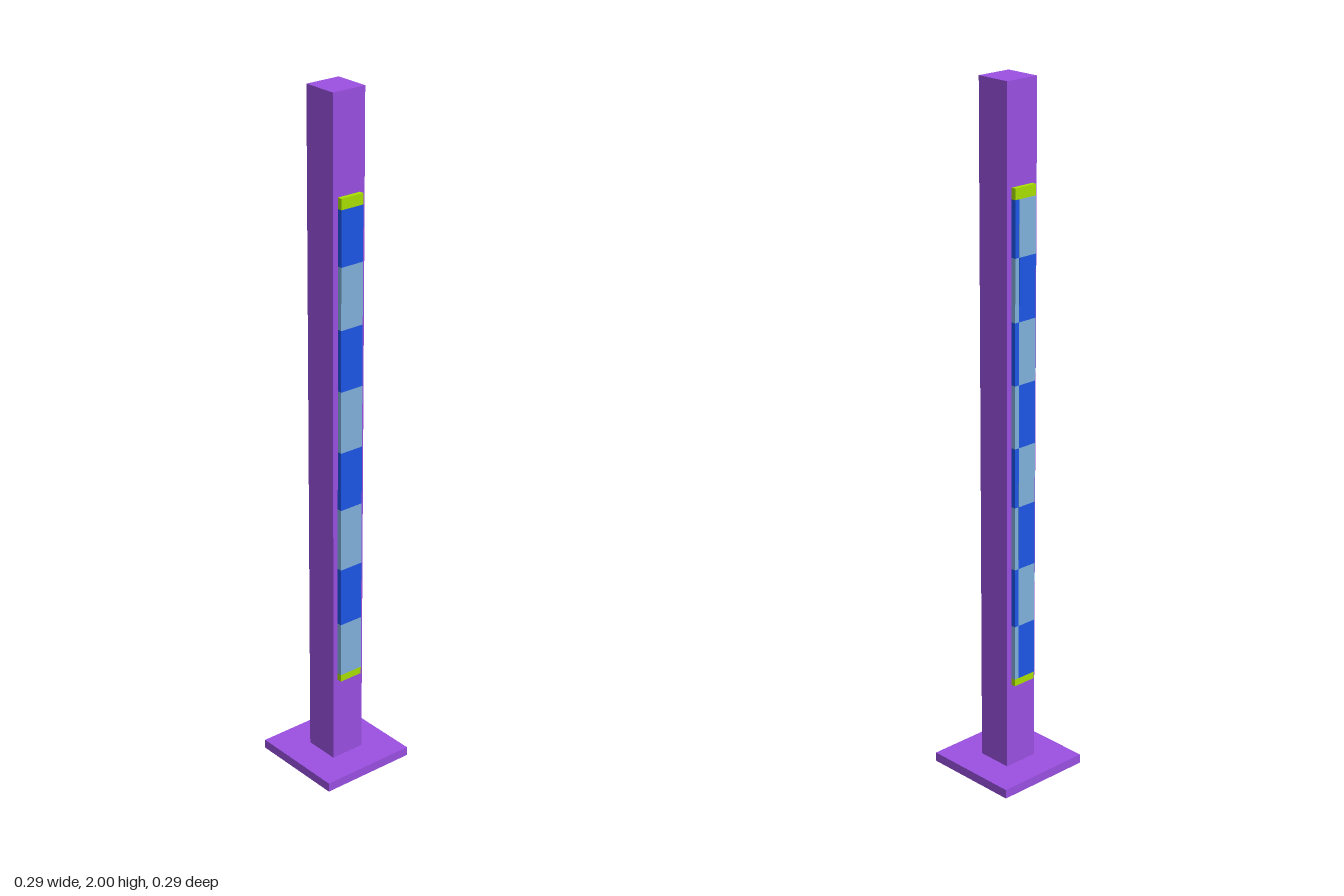
import * as THREE from 'three';

const mat = (name, color) => {
  const m = new THREE.MeshStandardMaterial({ color });
  m.name = name;
  return m;
};

export function createModel() {
  const purple = mat('purple', 0x9b50e2);
  const blue = mat('deepBlue', 0x1d57e8);
  const pale = mat('paleBlue', 0x81b1dd);
  const lime = mat('lime', 0xa8e000);

  const model = new THREE.Group();
  model.name = 'bandedPost';

  // Box given by its limits on each axis
  const box = (parent, name, material, [x0, x1], [y0, y1], [z0, z1]) => {
    const mesh = new THREE.Mesh(new THREE.BoxGeometry(x1 - x0, y1 - y0, z1 - z0), material);
    mesh.position.set((x0 + x1) / 2, (y0 + y1) / 2, (z0 + z1) / 2);
    mesh.name = name;
    parent.add(mesh);
  };

  // Square foot and post
  box(model, 'basePlate', purple, [-0.147, 0.147], [0, 0.027], [-0.147, 0.147]);
  box(model, 'post', purple, [-0.053, 0.053], [0.027, 2], [-0.053, 0.053]);

  // Band limits from bottom to top
  const levels = [0.304, 0.467, 0.641, 0.826, 0.999, 1.179, 1.356, 1.533, 1.69];
  const half = 0.037;

  // Banded strips on the front and back faces
  for (const side of [1, -1]) {
    const strip = new THREE.Group();
    strip.name = side > 0 ? 'frontStrip' : 'backStrip';
    const depth = (a, b) => (side > 0 ? [a, b] : [-b, -a]);
    const z = depth(0.053, 0.067);
    box(strip, 'bottomCap', lime, [-half, half], [0.283, levels[0]], z);
    box(strip, 'topCap', lime, [-half, half], [levels[8], 1.721], z);
    for (let i = 0; i < 8; i++) {
      const y = [levels[i], levels[i + 1]];
      box(strip, 'band', i % 2 ? blue : pale, [-half, half], y, z);
      // The back face alternates the other way, except along its +x edge
      if (side < 0) box(strip, 'bandFace', i % 2 ? pale : blue, [-half, 0.023], y, depth(0.067, 0.0676));
    }
    model.add(strip);
  }
  return model;
}
